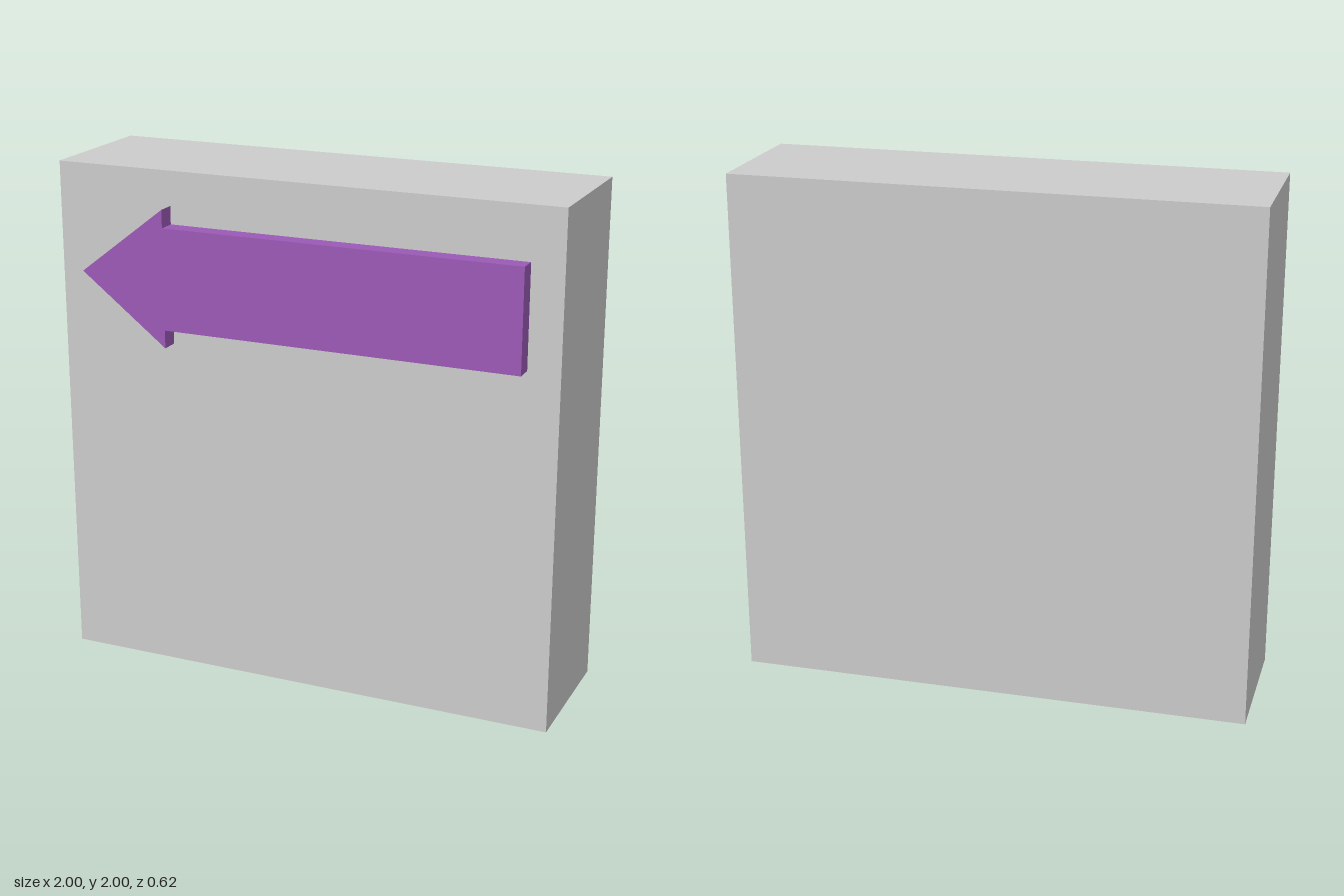
import * as THREE from 'three';

const BACK = -0.31, FACE = 0.24, FRONT = 0.31; // z of the panel back, panel face and arrow face

export function createModel() {
  const group = new THREE.Group();
  const grey = new THREE.MeshStandardMaterial({ color: 0xcccccc });
  const purple = new THREE.MeshStandardMaterial({ color: 0x9b59b6 });

  // Thick square panel
  const panel = new THREE.Mesh(new THREE.BoxGeometry(2, 2, FACE - BACK), grey);
  panel.name = 'panel';
  panel.position.set(0, 1, (FACE + BACK) / 2);
  group.add(panel);

  // Raised arrow pointing to -x, outlined around its own centre line
  const tip = -0.875, neck = -0.53, tail = 0.875, headHalf = 0.267, shaftHalf = 0.197;
  const outline = new THREE.Shape([
    [tip, 0], [neck, -headHalf], [neck, -shaftHalf], [tail, -shaftHalf],
    [tail, shaftHalf], [neck, shaftHalf], [neck, headHalf],
  ].map(([x, y]) => new THREE.Vector2(x, y)));
  const arrow = new THREE.Mesh(
    new THREE.ExtrudeGeometry(outline, { depth: FRONT - FACE, bevelEnabled: false }), purple);
  arrow.name = 'arrow';
  arrow.position.set(0, 1.6, FACE);
  group.add(arrow);

  return group;
}
